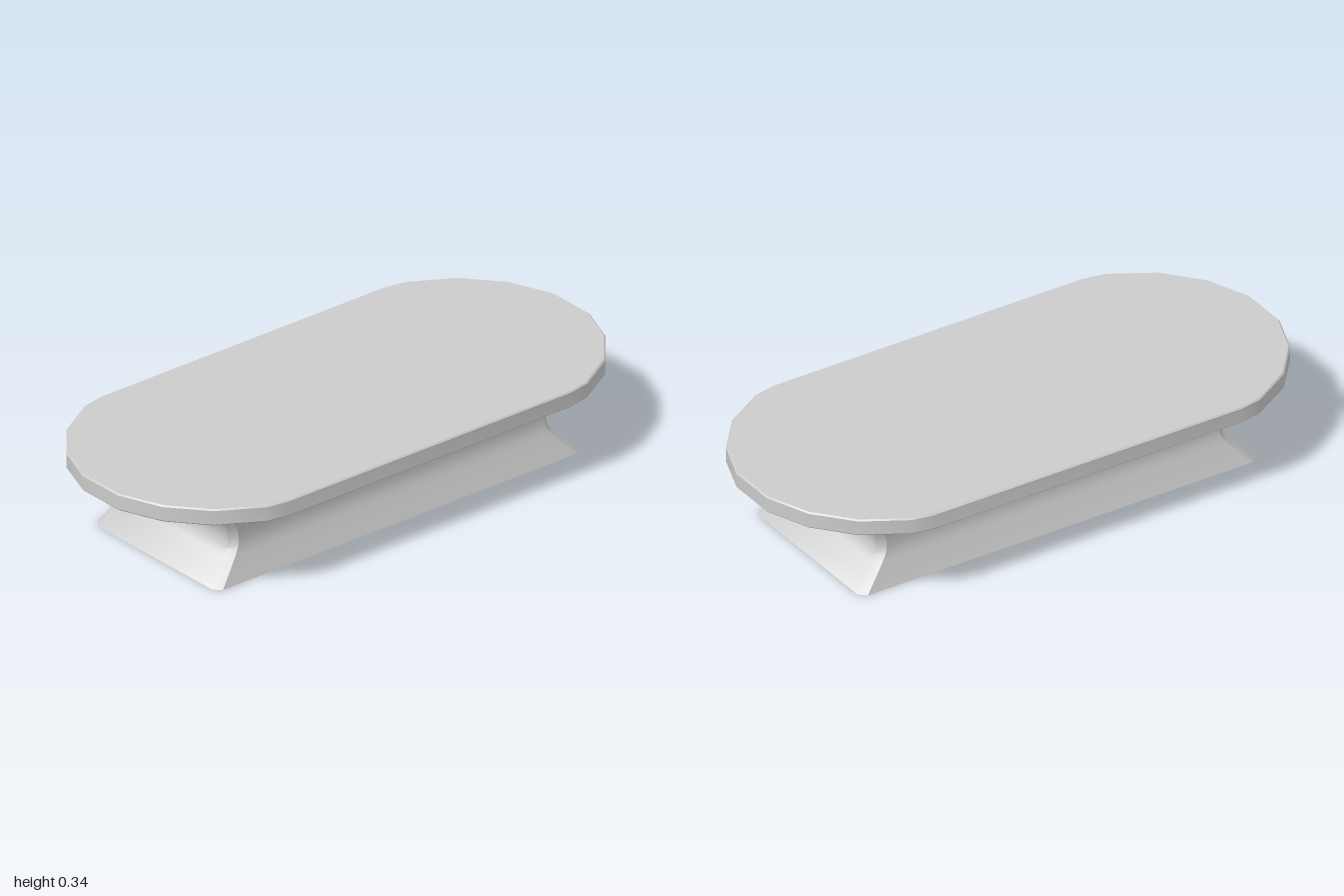
import * as THREE from 'three';
import { toCreasedNormals } from 'three/addons/utils/BufferGeometryUtils.js';

const material = new THREE.MeshStandardMaterial({ color: 0xcccccc, side: THREE.DoubleSide });

// Faceted oval slab with a fine bevel
function createTop() {
  const quarter = [[0.478, 0.6], [0.463, 0.68], [0.375, 0.83], [0.245, 0.94], [0.09, 1]];
  const flipped = [...quarter].reverse();
  const outline = [
    ...quarter,
    ...flipped.map(([x, z]) => [-x, z]),
    ...quarter.map(([x, z]) => [-x, -z]),
    ...flipped.map(([x, z]) => [x, -z]),
  ].map(([x, z]) => new THREE.Vector2(x, z));
  const bevel = 0.005;
  const geometry = new THREE.ExtrudeGeometry(new THREE.Shape(outline), {
    depth: 0.05, bevelThickness: bevel, bevelSize: bevel, bevelOffset: -bevel, bevelSegments: 1,
  });
  geometry.rotateX(-Math.PI / 2).translate(0, 0.29, 0);
  const mesh = new THREE.Mesh(toCreasedNormals(geometry, 0.5), material);
  mesh.name = 'top';
  return mesh;
}

// Hollow waisted skirt: chamfered rectangles lofted along a curved profile
function createBase() {
  // [height, flare], flare 0 at the waist and 1 at the foot
  const profile = [[0, 1], [0.05, 0.53], [0.085, 0.22], [0.105, 0.07], [0.125, 0],
    [0.145, 0], [0.17, 0.06], [0.2, 0.2], [0.286, 0.73]];
  const chamfer = 0.025;
  const positions = [], indices = [];
  const n = 8;
  profile.forEach(([y, flare], row) => {
    const x = 0.2775 + 0.04 * flare, z = 0.675 + 0.1 * flare;
    const cx = x - chamfer, cz = z - chamfer;
    const ring = [[x, cz], [x, -cz], [cx, -z], [-cx, -z], [-x, -cz], [-x, cz], [-cx, z], [cx, z]];
    ring.forEach(([px, pz], i) => {
      positions.push(px + 0.0025, y, pz - 0.004);
      if (row === profile.length - 1) return;
      const a = row * n + i, b = row * n + (i + 1) % n;
      indices.push(a, b, b + n, a, b + n, a + n);
    });
  });
  const geometry = new THREE.BufferGeometry();
  geometry.setAttribute('position', new THREE.Float32BufferAttribute(positions, 3));
  geometry.setIndex(indices);
  const mesh = new THREE.Mesh(toCreasedNormals(geometry, 0.7), material);
  mesh.name = 'base';
  return mesh;
}

export function createModel() {
  const model = new THREE.Group();
  model.name = 'ovalTable';
  model.add(createTop(), createBase());
  return model;
}
